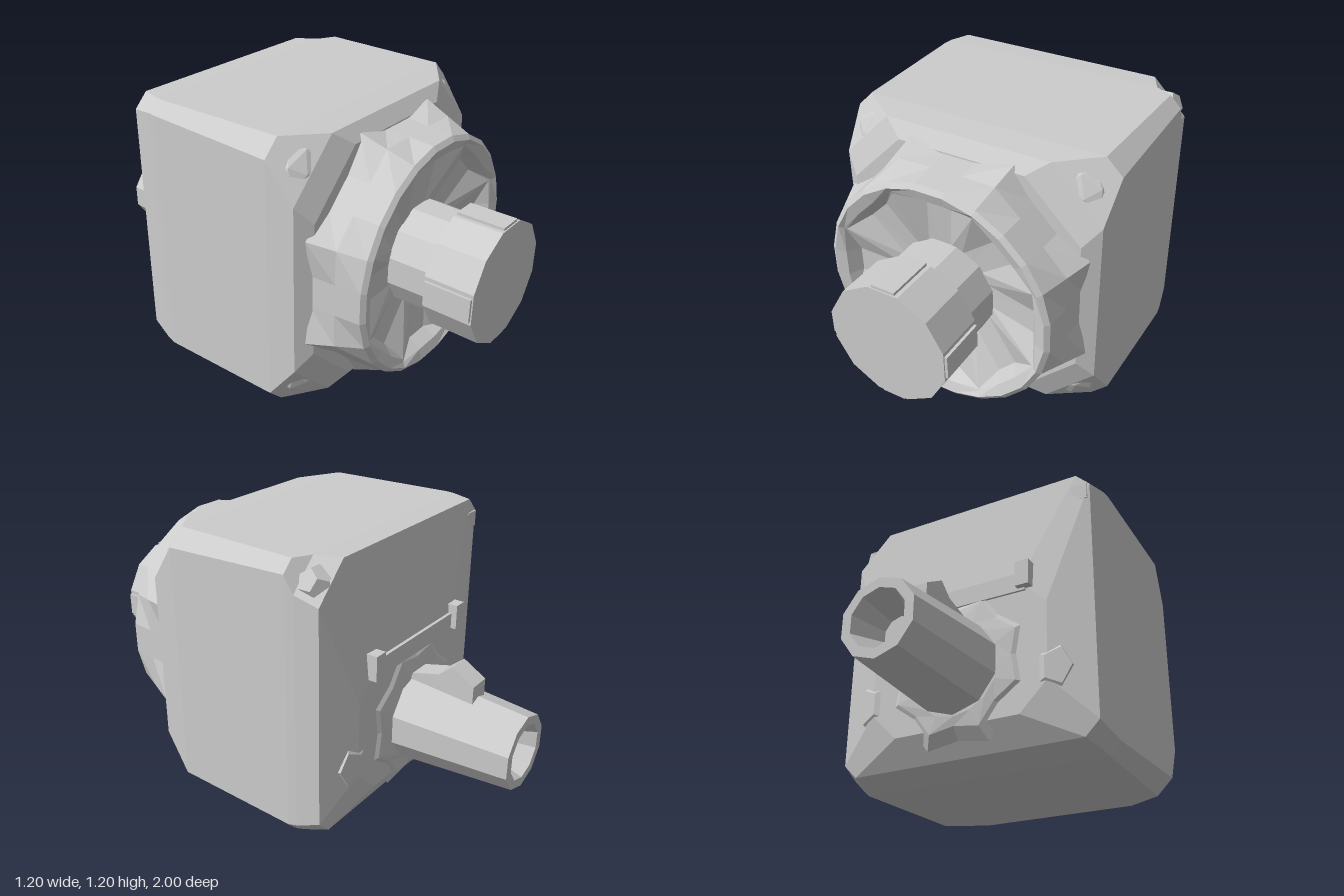
import * as THREE from 'three';

const grey = new THREE.MeshStandardMaterial({ color: 0xcccccc, flatShading: true });
grey.name = 'light grey';

// Skin between rings of points; rings run front to back, each counter-clockwise from +z.
function loft(rings, capFront = false, capBack = false) {
  const pos = [];
  const tri = (...points) => points.forEach((p) => pos.push(...p));
  for (let r = 0; r < rings.length - 1; r++) {
    const f = rings[r], b = rings[r + 1], n = f.length;
    for (let i = 0; i < n; i++) {
      const j = (i + 1) % n;
      tri(f[i], b[i], f[j]);
      tri(f[j], b[i], b[j]);
    }
  }
  const cap = (ring, front) => {
    const n = ring.length;
    const mid = [0, 1, 2].map((k) => ring.reduce((s, p) => s + p[k], 0) / n);
    for (let i = 0; i < n; i++) {
      const a = ring[i], b = ring[(i + 1) % n];
      if (front) tri(mid, a, b); else tri(mid, b, a);
    }
  };
  if (capFront) cap(rings[0], true);
  if (capBack) cap(rings[rings.length - 1], false);
  const g = new THREE.BufferGeometry();
  g.setAttribute('position', new THREE.Float32BufferAttribute(pos, 3));
  g.computeVertexNormals();
  return g;
}

// Rectangle with cut corners at depth z; t is the cut of the upper left corner
function section(z, hw, y0, y1, c, t = c) {
  return [[hw, y0 + c], [hw, y1 - t], [hw - t, y1], [c - hw, y1],
    [-hw, y1 - c], [-hw, y0 + c], [c - hw, y0], [hw - c, y0]].map(([x, y]) => [x, y, z]);
}

// Round ring; radius and z may be functions of the point index
function circle(n, r, z, cy, offset = 0) {
  const val = (v, i) => (typeof v === 'function' ? v(i) : v);
  return Array.from({ length: n }, (_, i) => {
    const a = (i / n) * Math.PI * 2 + offset;
    return [val(r, i) * Math.cos(a), cy + val(r, i) * Math.sin(a), val(z, i)];
  });
}

export function createModel() {
  const model = new THREE.Group();
  const add = (name, geometry, x = 0, y = 0, z = 0) => {
    const m = new THREE.Mesh(geometry, grey);
    m.name = name;
    m.position.set(x, y, z);
    model.add(m);
    return m;
  };

  // Block body: front corners cut away, back bulging a little, one back corner notched
  add('body', loft([
    section(0.475, 0.52, 0.07, 1.13, 0.24),
    section(0.43, 0.585, 0.015, 1.19, 0.22),
    section(0.31, 0.6, 0.005, 1.2, 0.07),
    section(-0.27, 0.6, 0.005, 1.2, 0.05),
    section(-0.31, 0.595, 0.015, 1.2, 0.05, 0.12),
    section(-0.41, 0.575, 0.04, 1.195, 0.06, 0.15),
    section(-0.475, 0.4, 0.15, 0.72, 0.12),
  ], true, true));

  // Low faceted bulges on the front corners
  for (const sx of [-1, 1]) for (const sy of [-1, 1]) {
    const g = new THREE.IcosahedronGeometry(1, 1);
    g.scale(0.16, 0.16, 0.1);
    add('frontCornerBulge', g, sx * 0.42, 0.6 + sy * 0.42, 0.345);
  }

  // Flared collar with eight spokes running into its shallow dish
  const spoke = (i) => i % 3 === 1;
  const turn = Math.PI / 24;
  add('frontCollar', loft([
    circle(24, 0.2, 0.6, 0.6, turn),
    circle(24, (i) => (spoke(i) ? 0.46 : 0.41), (i) => (spoke(i) ? 0.675 : 0.625), 0.6, turn),
    circle(24, (i) => (spoke(i) ? 0.47 : 0.445), 0.68, 0.6, turn),
    circle(24, 0.49, 0.695, 0.6, turn),
    circle(24, 0.51, 0.68, 0.6, turn),
    circle(24, (i) => (spoke(i) ? 0.555 : 0.52), 0.57, 0.6, turn),
    circle(24, (i) => (spoke(i) ? 0.6 : 0.53), 0.46, 0.6, turn),
  ]));

  // Front knob: neck, head and four grip teeth
  add('knobNeck', loft([
    circle(12, 0.215, 0.8, 0.6, Math.PI / 12),
    circle(12, 0.22, 0.59, 0.6, Math.PI / 12),
  ]));
  add('knobHead', loft([
    circle(12, 0.257, 1, 0.6, Math.PI / 12),
    circle(12, 0.257, 0.79, 0.6, Math.PI / 12),
  ], true, true));
  for (let i = 0; i < 4; i++) {
    const a = (i * Math.PI) / 2;
    const tooth = add('knobTooth', new THREE.BoxGeometry(0.04, 0.1, 0.2),
      0.24 * Math.cos(a), 0.6 + 0.24 * Math.sin(a), 0.895);
    tooth.rotation.z = a;
  }

  // Star-shaped boss around the rear pipe
  add('rearBoss', loft([
    circle(16, (i) => (i % 2 ? 0.36 : 0.31), -0.45, 0.41),
    circle(16, (i) => (i % 2 ? 0.29 : 0.25), -0.485, 0.4),
    circle(16, 0.2, -0.495, 0.385),
  ], false, true));

  // Hollow tapered rear pipe
  const pipe = (r, z, cy) => circle(10, r, z, cy, Math.PI / 10);
  add('rearPipe', loft([
    pipe(0.2, -0.46, 0.39), pipe(0.16, -1, 0.38),
    pipe(0.12, -1, 0.38), pipe(0.07, -0.86, 0.38),
  ], false, true));

  // Catch on top of the pipe
  const catchShape = new THREE.Shape();
  [[0.48, 0.54], [0.5, 0.6], [0.62, 0.63], [0.68, 0.68], [0.78, 0.62], [0.78, 0.52]]
    .forEach(([x, y], i) => (i ? catchShape.lineTo(x, y) : catchShape.moveTo(x, y)));
  const catchGeo = new THREE.ExtrudeGeometry(catchShape, { depth: 0.1, bevelEnabled: false });
  catchGeo.translate(0, 0, -0.05).rotateY(Math.PI / 2);
  add('pipeCatch', catchGeo);

  // Ridge above the pipe and lumps beside it
  add('rearRidge', new THREE.BoxGeometry(0.62, 0.08, 0.06), 0, 0.71, -0.455);
  for (const s of [-1, 1]) {
    add('ridgeEnd', new THREE.BoxGeometry(0.06, 0.11, 0.08), s * 0.31, 0.735, -0.47);
    const g = new THREE.DodecahedronGeometry(1);
    g.scale(0.11, 0.13, 0.05);
    add('rearLump', g, s * 0.39, 0.32, -0.435);
  }

  // Small lumps at the upper back corners
  const chip = new THREE.DodecahedronGeometry(1);
  chip.scale(0.07, 0.08, 0.07);
  add('cornerLump', chip, 0.51, 1.1, -0.345);
  add('cornerLumpSmall', new THREE.BoxGeometry(0.07, 0.07, 0.06), -0.53, 1.1, -0.39);
  return model;
}
